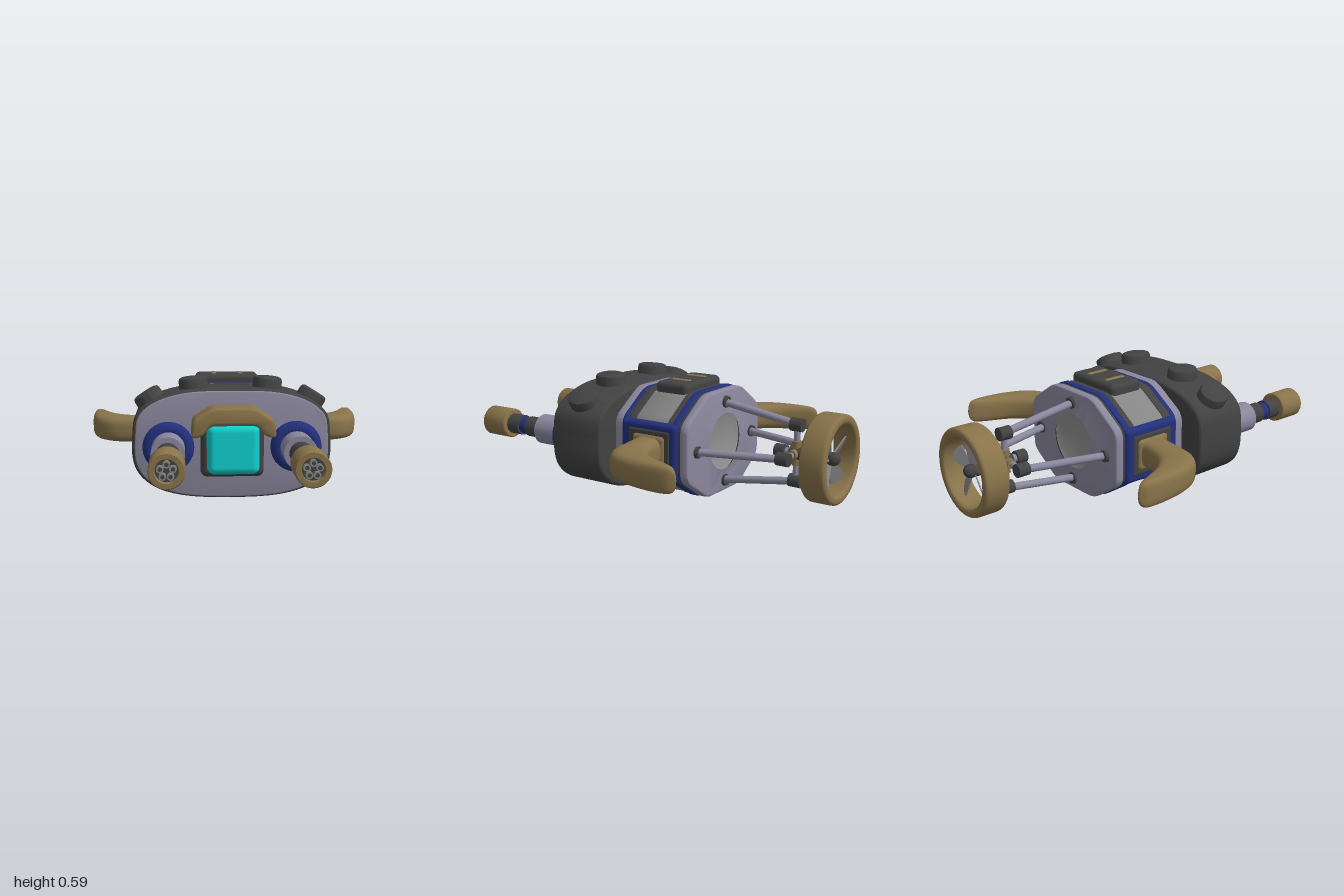
import * as THREE from 'three';
import { toCreasedNormals } from 'three/addons/utils/BufferGeometryUtils.js';
import { RoundedBoxGeometry } from 'three/addons/geometries/RoundedBoxGeometry.js';
import { ParametricGeometry } from 'three/addons/geometries/ParametricGeometry.js';

const mat = (color, side = THREE.FrontSide) => new THREE.MeshStandardMaterial({ color, side });
const lilac = mat(0x8a879d), navy = mat(0x22307c), dark = mat(0x424242), tan = mat(0x88734a);
const cyan = mat(0x10d0d0), grey = mat(0x858585), blade = mat(0x85858a, THREE.DoubleSide);
const CY = 0.27; // height of the main axis
const V = (x, y, z) => new THREE.Vector3(x, y, z);

function add(parent, name, geo, material, x = 0, y = 0, z = 0) {
  const m = new THREE.Mesh(geo, material);
  m.name = name;
  m.position.set(x, y, z);
  parent.add(m);
  return m;
}

// Shape extruded from z0 to z1, with rounded edges that stay inside the outline
function prism(shape, z0, z1, b = 0.01) {
  const g = new THREE.ExtrudeGeometry(shape, {
    depth: z1 - z0 - 2 * b, bevelThickness: b, bevelSize: b, bevelOffset: -b, bevelSegments: 4, curveSegments: 12,
  });
  g.translate(0, 0, z0 + b);
  return toCreasedNormals(g, 0.65);
}

// Closed polygon with rounded corners
function rounded(pts, r) {
  const s = new THREE.Shape(), n = pts.length;
  const P = pts.map(p => new THREE.Vector2(...p));
  P.forEach((p, i) => {
    const toward = q => p.clone().add(q.clone().sub(p).setLength(r));
    const a = toward(P[(i + n - 1) % n]), b = toward(P[(i + 1) % n]);
    if (i) s.lineTo(a.x, a.y); else s.moveTo(a.x, a.y);
    s.quadraticCurveTo(p.x, p.y, b.x, b.y);
  });
  s.closePath();
  return s;
}

// Cylinder between two points
function rod(parent, name, a, b, r, material, r2 = r) {
  const d = b.clone().sub(a);
  const m = add(parent, name, new THREE.CylinderGeometry(r2, r, d.length(), 28), material);
  m.position.copy(a).addScaledVector(d, 0.5);
  m.quaternion.setFromUnitVectors(V(0, 1, 0), d.normalize());
  return m;
}

// Profile of [radius, z] turned about the z axis
function turned(profile) {
  const g = new THREE.LatheGeometry(profile.map(p => new THREE.Vector2(...p)), 48);
  g.rotateX(Math.PI / 2);
  return toCreasedNormals(g, 0.7);
}

// Broad front hull outline, shrunk by inset
function hullShape(k) {
  const half = [[0.25, 0.53], [0.40, 0.48], [0.47, 0.415], [0.485, 0.33], [0.485, 0.2], [0.455, 0.125], [0.38, 0.06], [0.25, 0.018]];
  const pts = [[0, 0.542], ...half, [0, 0.003], ...half.map(([x, y]) => [-x, y]).reverse()];
  const curve = new THREE.CatmullRomCurve3(pts.map(([x, y]) => V(x * k, CY + (y - CY) * k, 0)), true);
  return new THREE.Shape(curve.getPoints(72).slice(0, -1).map(p => new THREE.Vector2(p.x, p.y)));
}

// Eight-sided rear hull outline
function rearShape(k) {
  const right = [[0.16, 0.54], [0.355, 0.41], [0.355, 0.13], [0.16, 0.002]];
  const all = [...right, ...right.map(([x, y]) => [-x, y]).reverse()];
  return rounded(all.map(([x, y]) => [x * k, CY + (y - CY) * k]), 0.045);
}

// Swept fin: rounded sections between a leading and a trailing edge
function finGeometry() {
  const edge = pts => new THREE.CatmullRomCurve3(pts.map(([x, z]) => V(x, 0, z)));
  const lead = edge([[0.33, -0.055], [0.5, -0.08], [0.63, -0.105], [0.7, -0.17], [0.735, -0.27], [0.747, -0.4], [0.742, -0.5], [0.723, -0.535]]);
  const trail = edge([[0.33, -0.215], [0.42, -0.22], [0.5, -0.24], [0.56, -0.28], [0.62, -0.35], [0.665, -0.44], [0.695, -0.505], [0.715, -0.534]]);
  const soft = c => Math.sign(c) * Math.pow(Math.abs(c), 0.6);
  return new ParametricGeometry((u, v, out) => {
    const a = -u * Math.PI * 2, L = lead.getPoint(v), T = trail.getPoint(v);
    const h = 0.07 * Math.sqrt(Math.max(0, 1 - Math.pow(v, 9)));
    out.copy(L).add(T).multiplyScalar(0.5).addScaledVector(L.sub(T), 0.5 * soft(Math.cos(a)));
    out.y = h * soft(Math.sin(a));
  }, 36, 44);
}

function makeGun(s) {
  const g = new THREE.Group();
  g.name = s > 0 ? 'leftGun' : 'rightGun';
  g.position.set(0.31 * s, 0.265, 0);
  add(g, 'mountRing', new THREE.TorusGeometry(0.088, 0.037, 20, 48), navy, 0, 0, 0.418);
  const parts = [['sleeve', 0.08, 0.38, 0.605, lilac], ['rearCollar', 0.055, 0.6, 0.7, dark],
    ['coupling', 0.046, 0.69, 0.76, navy], ['frontCollar', 0.055, 0.75, 0.835, dark]];
  for (const [name, r, a, b, m] of parts) rod(g, name, V(0, 0, a), V(0, 0, b), r, m);
  add(g, 'muzzle', turned([[0, 0.83], [0.075, 0.83], [0.08, 0.835], [0.08, 0.985], [0.075, 0.992], [0.053, 0.992], [0.05, 0.985], [0.05, 0.955], [0, 0.955]].reverse()), mat(0x88734a, THREE.DoubleSide));
  rod(g, 'muzzleCore', V(0, 0, 0.95), V(0, 0, 0.968), 0.05, dark);
  for (let i = 0; i < 5; i++) {
    const a = Math.PI / 2 + i * Math.PI * 0.4, x = 0.029 * Math.cos(a), y = 0.029 * Math.sin(a);
    rod(g, 'barrel', V(x, y, 0.96), V(x, y, 0.99), 0.016, grey);
    rod(g, 'barrelBore', V(x, y, 0.98), V(x, y, 0.991), 0.009, dark);
  }
  return g;
}

function makePropeller() {
  const g = new THREE.Group();
  g.name = 'propeller';
  g.position.y = CY;
  // Four struts carry a cross frame
  for (let i = 0; i < 4; i++) {
    const a = i * Math.PI / 2, c = Math.cos(a), s = Math.sin(a), R = i % 2 ? 0.205 : 0.265;
    const P = (r, z) => V(r * c, r * s, z);
    rod(g, 'strut', P(R, -0.34), P(0.143, -0.755), 0.019, lilac);
    rod(g, 'strutSocket', P(R + 0.003, -0.345), P(R - 0.001, -0.365), 0.03, dark);
    rod(g, 'strutJoint', P(0.141, -0.725), P(0.141, -0.787), 0.033, dark);
    rod(g, 'crossBar', P(0.02, -0.757), P(0.125, -0.757), 0.016, lilac);
    rod(g, 'crossCollar', P(0.025, -0.757), P(0.06, -0.757), 0.024, tan);
  }
  rod(g, 'shaftEnd', V(0, 0, -0.645), V(0, 0, -0.7), 0.033, dark);
  rod(g, 'shaft', V(0, 0, -0.65), V(0, 0, -0.93), 0.02, lilac);
  rod(g, 'hub', V(0, 0, -0.725), V(0, 0, -0.79), 0.033, dark);
  rod(g, 'shaftSleeve', V(0, 0, -0.81), V(0, 0, -0.95), 0.033, dark);
  add(g, 'hubCap', new THREE.SphereGeometry(0.033, 24, 16), dark, 0, 0, -0.95);
  // Ring shroud
  const section = rounded([[0.172, -0.998], [0.219, -0.998], [0.219, -0.867], [0.172, -0.867]], 0.02).getPoints(6);
  add(g, 'shroud', turned([...section, section[0]].map(p => [p.x, p.y])), mat(0x88734a, THREE.DoubleSide));
  // Pitched blades, widening outward
  const shape = rounded([[0.018, -0.014], [0.155, -0.045], [0.172, 0], [0.155, 0.045], [0.018, 0.014]], 0.01);
  const bladeGeo = new THREE.ExtrudeGeometry(shape, { depth: 0.006, bevelEnabled: false });
  bladeGeo.rotateX(0.45);
  for (let i = 0; i < 5; i++)
    add(g, 'blade', bladeGeo, blade, 0, 0, -0.935).rotation.z = Math.PI / 2 + i * Math.PI * 0.4;
  return g;
}

export function createModel() {
  const model = new THREE.Group();
  model.name = 'submersible';

  // Front hull with its face plate
  add(model, 'frontHull', prism(hullShape(1), 0.08, 0.385, 0.018), dark);
  add(model, 'facePlate', prism(hullShape(0.97), 0.36, 0.392, 0.008), lilac);

  // Rear hull, as bands from front to back
  const bands = [['neck', 0.985, 0.035, 0.1, lilac], ['frontPipe', 0.99, 0.015, 0.04, navy], ['frontBand', 0.98, -0.035, 0.02, dark],
    ['panels', 0.97, -0.235, -0.03, grey], ['rearBand', 0.985, -0.262, -0.225, dark], ['rearPipe', 1, -0.295, -0.258, navy], ['rearSeam', 0.975, -0.315, -0.29, dark]];
  for (const [name, k, a, b, m] of bands) add(model, name, prism(rearShape(k), a, b, 0.006), m);
  const cap = rearShape(0.99);
  cap.holes.push(new THREE.Path().absarc(0, CY, 0.16, 0, Math.PI * 2, true));
  add(model, 'rearCap', prism(cap, -0.352, -0.305, 0.012), lilac);
  add(model, 'rearDish', turned([[0.165, -0.335], [0.13, -0.32], [0, -0.316]]), mat(0x909090, THREE.DoubleSide), 0, CY, 0);

  for (const s of [1, -1]) {
    // Fins with their framed sockets
    const wing = new THREE.Group();
    wing.name = s > 0 ? 'leftFin' : 'rightFin';
    wing.position.y = CY;
    wing.rotation.z = s > 0 ? 0 : Math.PI;
    add(wing, 'finFrame', new RoundedBoxGeometry(0.05, 0.285, 0.33, 4, 0.024), navy, 0.341, 0, -0.13);
    add(wing, 'finPanel', new RoundedBoxGeometry(0.03, 0.215, 0.25, 4, 0.014), dark, 0.356, 0, -0.135);
    add(wing, 'finRoot', new RoundedBoxGeometry(0.05, 0.165, 0.195, 4, 0.024), tan, 0.358, 0, -0.137);
    add(wing, 'fin', finGeometry(), tan);
    model.add(wing);
    model.add(makeGun(s));

    // Domed caps on the shoulders of the hull
    for (const [x, y, tilt] of [[0.185, 0.545, 0.08], [0.402, 0.478, 0.56]]) {
      const g = turned([[0, 0.045], [0.055, 0.045], [0.067, 0.04], [0.072, 0.028], [0.074, -0.06]].reverse());
      g.rotateX(-Math.PI / 2);
      const c = add(model, 'shoulderCap', g, dark, s * x, y, 0.235);
      c.scale.z = 1.15;
      c.rotation.z = -s * tilt;
    }
    add(model, 'hatchSlot', new RoundedBoxGeometry(0.03, 0.02, 0.12, 3, 0.009), tan, s * 0.07, 0.57, -0.13);
  }

  // Top hatch
  add(model, 'topHatch', new RoundedBoxGeometry(0.335, 0.075, 0.19, 4, 0.025), dark, 0, 0.538, -0.13);

  // Window with frame and hood
  add(model, 'windowFrame', new RoundedBoxGeometry(0.31, 0.3, 0.07, 4, 0.034), dark, 0, 0.265, 0.395);
  add(model, 'window', new RoundedBoxGeometry(0.25, 0.24, 0.17, 5, 0.035), cyan, 0, 0.266, 0.445);
  const hood = rounded([[-0.202, 0.325], [-0.195, 0.41], [-0.1, 0.47], [0.1, 0.47], [0.195, 0.41], [0.202, 0.325],
    [0.15, 0.335], [0.11, 0.385], [-0.11, 0.385], [-0.15, 0.335]], 0.024);
  add(model, 'windowHood', prism(hood, 0.375, 0.557, 0.018), tan);

  model.add(makePropeller());
  return model;
}
